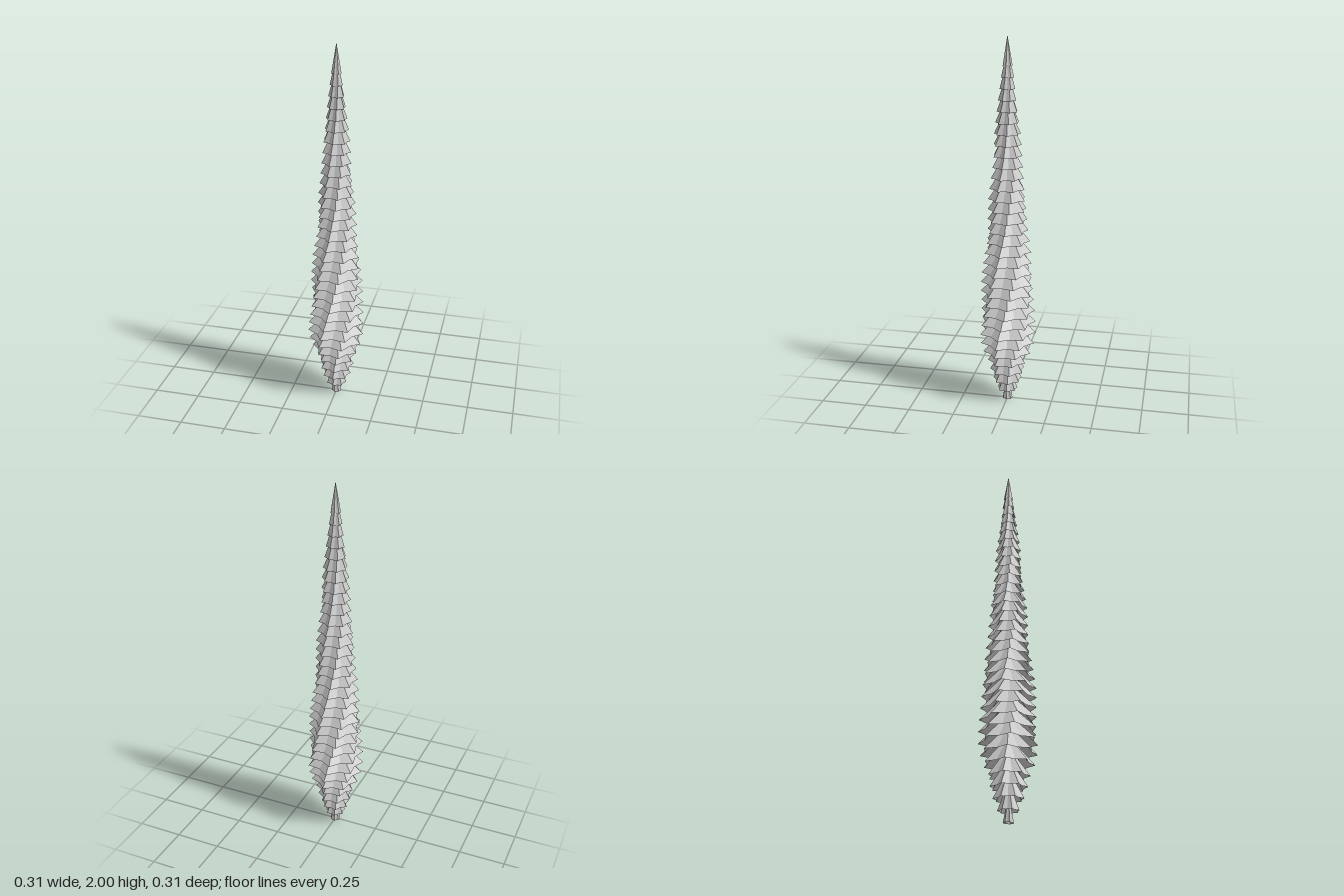
import * as THREE from 'three';

const TIERS = 33, HEIGHT = 0.152, TIPS = 7, VALLEY = 0.79;
const STEP = (2 - HEIGHT) / (TIERS - 1);
const TWIST = 6.4; // degrees between neighbouring tiers

// Tip radius against base height
const PROFILE = [
  [0, 0.028], [0.058, 0.056], [0.115, 0.08], [0.173, 0.097], [0.23, 0.108], [0.29, 0.134],
  [0.35, 0.15], [0.405, 0.157], [0.46, 0.155], [0.58, 0.147], [0.7, 0.144], [0.87, 0.128],
  [0.98, 0.112], [1.15, 0.102], [1.33, 0.082], [1.5, 0.071], [1.62, 0.055], [1.85, 0.026],
];

function radiusAt(y) {
  for (let i = 1; i < PROFILE.length; i++) {
    const [y0, r0] = PROFILE[i - 1], [y1, r1] = PROFILE[i];
    if (y <= y1) return r0 + (r1 - r0) * (y - y0) / (y1 - y0);
  }
  return PROFILE[PROFILE.length - 1][1];
}

// Hollow cone with a star-shaped rim: every second rim point is pulled inwards
function starCone(radius) {
  const geo = new THREE.ConeGeometry(radius, HEIGHT, TIPS * 2, 1, true).toNonIndexed();
  const p = geo.attributes.position;
  for (let i = 0; i < p.count; i++) {
    const k = Math.round(Math.atan2(p.getX(i), p.getZ(i)) / (Math.PI / TIPS));
    const s = k % 2 === 0 ? 1 : VALLEY;
    p.setXYZ(i, p.getX(i) * s, p.getY(i) + HEIGHT / 2, p.getZ(i) * s);
  }
  geo.computeVertexNormals();
  return geo;
}

export function createModel() {
  const group = new THREE.Group();
  group.name = 'slenderTree';
  const foliage = new THREE.MeshStandardMaterial({ color: 0xcccccc, side: THREE.DoubleSide, flatShading: true });
  foliage.name = 'light grey';

  // Overlapping branch tiers, the lowest one forming the trunk foot
  for (let i = 0; i < TIERS; i++) {
    const y = i * STEP;
    const tier = new THREE.Mesh(starCone(radiusAt(y)), foliage);
    tier.name = i === 0 ? 'trunkFoot' : `branchTier${i}`;
    tier.position.y = y;
    tier.rotation.y = THREE.MathUtils.degToRad(81.4 + (i - 7) * TWIST);
    group.add(tier);
  }
  return group;
}
